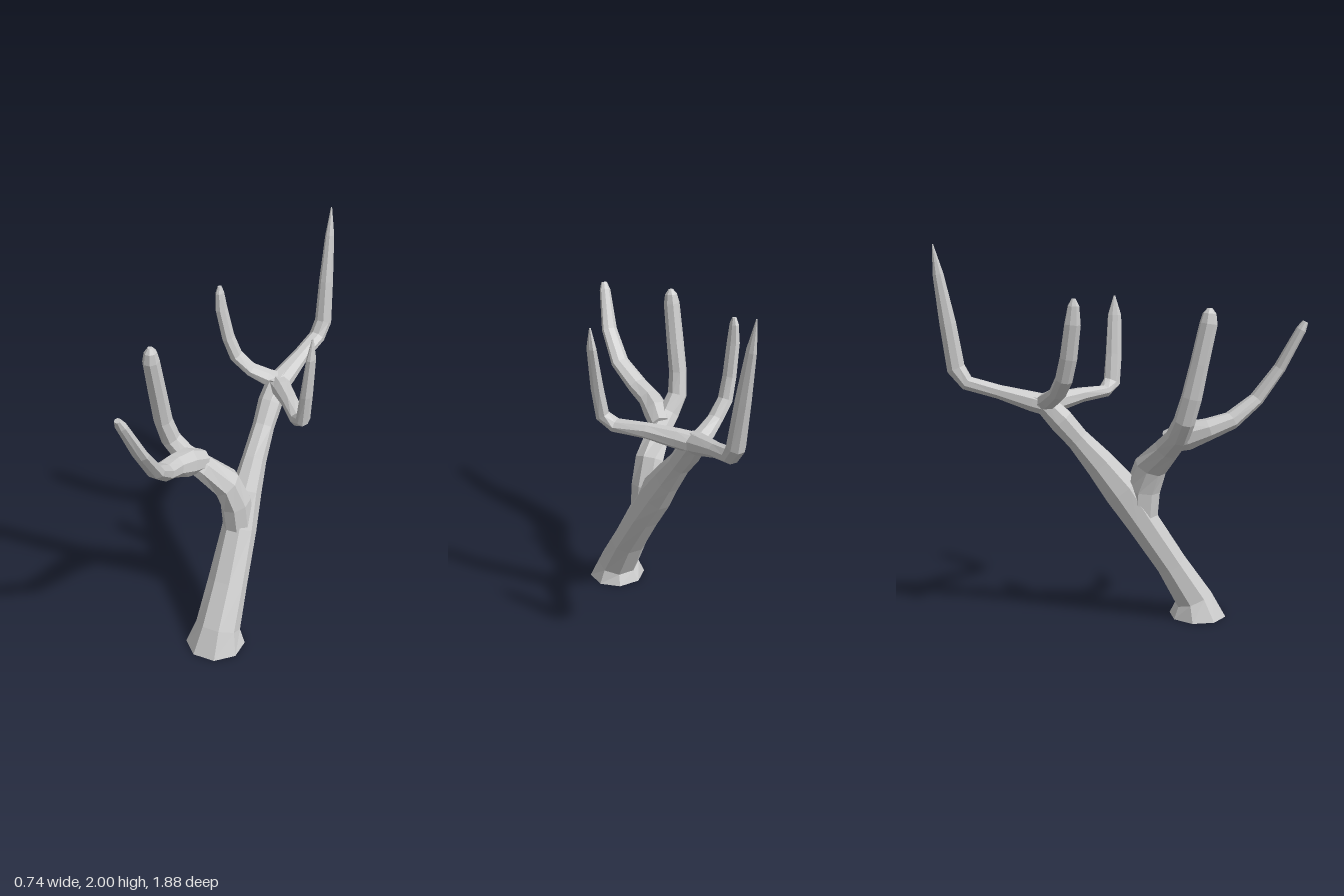
import * as THREE from 'three';

const SIDES = 8;

// Tapered faceted limb. Each row: x, y, z, half-width along ref, half-width across it.
function limb(name, rows, ref, material, flatBase = false) {
  const centres = rows.map(r => new THREE.Vector3(r[0], r[1], r[2]));
  const positions = [];
  const index = [];
  rows.forEach((row, i) => {
    const before = centres[Math.max(i - 1, 0)];
    const after = centres[Math.min(i + 1, rows.length - 1)];
    const a = centres[i].clone().sub(before).normalize();
    const b = after.clone().sub(centres[i]).normalize();
    const t = a.add(b).normalize();
    if (flatBase && i === 0) t.set(0, 1, 0);
    const u = ref.clone().addScaledVector(t, -ref.dot(t)).normalize();
    const v = new THREE.Vector3().crossVectors(t, u);
    for (let k = 0; k < SIDES; k++) {
      const ang = ((k + 0.5) / SIDES) * Math.PI * 2;
      const p = centres[i].clone()
        .addScaledVector(u, Math.cos(ang) * row[3] * 1.06)
        .addScaledVector(v, Math.sin(ang) * (row[4] ?? row[3]) * 1.06);
      positions.push(p.x, p.y, p.z);
    }
  });
  for (let i = 0; i < rows.length - 1; i++) {
    for (let k = 0; k < SIDES; k++) {
      const n = (k + 1) % SIDES;
      const p = i * SIDES + k, q = i * SIDES + n;
      index.push(p, q, q + SIDES, p, q + SIDES, p + SIDES);
    }
  }
  // End caps
  const last = (rows.length - 1) * SIDES;
  for (let k = 1; k < SIDES - 1; k++) {
    index.push(0, k + 1, k, last, last + k, last + k + 1);
  }
  const geometry = new THREE.BufferGeometry();
  geometry.setAttribute('position', new THREE.Float32BufferAttribute(positions, 3));
  geometry.setIndex(index);
  geometry.computeVertexNormals();
  const mesh = new THREE.Mesh(geometry, material);
  mesh.name = name;
  return mesh;
}

export function createModel() {
  const group = new THREE.Group();
  group.name = 'branchingAntler';
  const material = new THREE.MeshStandardMaterial({ color: 0xcccccc, flatShading: true });
  const X = new THREE.Vector3(1, 0, 0);
  const Z = new THREE.Vector3(0, 0, 1);
  const add = (name, rows, ref, flat) => group.add(limb(name, rows, ref, material, flat));

  // Leaning main stem with a flared foot
  add('mainStem', [
    [0.01, 0, 0.435, 0.15, 0.145],
    [0.015, 0.1, 0.41, 0.115, 0.1],
    [0.012, 0.3, 0.285, 0.103, 0.083],
    [0.005, 0.55, 0.12, 0.088, 0.088],
    [-0.005, 0.72, 0.01, 0.075, 0.098],
    [-0.008, 0.86, -0.1, 0.06, 0.08],
    [-0.01, 1.0, -0.22, 0.055, 0.06],
    [-0.01, 1.1, -0.305, 0.062, 0.065],
    [0, 1.19, -0.39, 0.06, 0.055],
    [0.005, 1.215, -0.45, 0.045, 0.035],
  ], X, true);

  // Tall rear tine
  add('rearTine', [
    [0, 1.17, -0.34, 0.06, 0.055],
    [0.01, 1.2, -0.45, 0.058, 0.05],
    [0.035, 1.25, -0.62, 0.043, 0.035],
    [0.062, 1.295, -0.78, 0.043, 0.038],
    [0.075, 1.37, -0.835, 0.043, 0.048],
    [0.07, 1.6, -0.87, 0.035, 0.043],
    [0.065, 1.85, -0.912, 0.022, 0.028],
    [0.06, 2.0, -0.935, 0.003],
  ], X);

  // Rear tine sweeping to the left and forward
  add('rearLeftTine', [
    [-0.01, 1.18, -0.4, 0.06, 0.05],
    [0.06, 1.19, -0.31, 0.05, 0.05],
    [0.16, 1.205, -0.18, 0.042, 0.038],
    [0.265, 1.205, -0.04, 0.042, 0.033],
    [0.31, 1.25, 0.008, 0.033, 0.045],
    [0.33, 1.4, 0.022, 0.028, 0.043],
    [0.352, 1.61, 0.03, 0.02, 0.036],
    [0.357, 1.715, 0.03, 0.004],
  ], X);

  // Rear tine curling to the right
  add('rearRightTine', [
    [0.02, 1.18, -0.4, 0.055, 0.05],
    [-0.06, 1.215, -0.37, 0.05, 0.042],
    [-0.14, 1.26, -0.335, 0.043, 0.033],
    [-0.215, 1.34, -0.31, 0.043, 0.033],
    [-0.25, 1.45, -0.29, 0.043, 0.03],
    [-0.28, 1.62, -0.272, 0.04, 0.028],
    [-0.285, 1.71, -0.267, 0.028, 0.02],
    [-0.285, 1.745, -0.267, 0.01],
  ], Z);

  // Front branch leaving the stem and rising into its right tine
  add('frontBranch', [
    [0, 0.56, 0.12, 0.083, 0.075],
    [-0.012, 0.72, 0.125, 0.09, 0.075],
    [-0.05, 0.85, 0.16, 0.085, 0.07],
    [-0.15, 0.965, 0.23, 0.068, 0.06],
    [-0.235, 1.04, 0.265, 0.058, 0.055],
    [-0.3, 1.13, 0.285, 0.052, 0.05],
    [-0.322, 1.25, 0.315, 0.05, 0.045],
    [-0.325, 1.42, 0.352, 0.045, 0.044],
    [-0.328, 1.62, 0.395, 0.043, 0.04],
    [-0.326, 1.67, 0.4, 0.032, 0.03],
    [-0.326, 1.695, 0.402, 0.012],
  ], Z);

  // Forward tine
  add('forwardTine', [
    [-0.16, 1.0, 0.22, 0.055, 0.055],
    [-0.19, 1.035, 0.32, 0.066, 0.072],
    [-0.21, 1.07, 0.43, 0.06, 0.054],
    [-0.2, 1.11, 0.55, 0.056, 0.044],
    [-0.165, 1.21, 0.69, 0.05, 0.034],
    [-0.165, 1.37, 0.81, 0.043, 0.028],
    [-0.195, 1.57, 0.91, 0.03, 0.024],
    [-0.2, 1.61, 0.93, 0.016, 0.014],
  ], X);

  return group;
}
